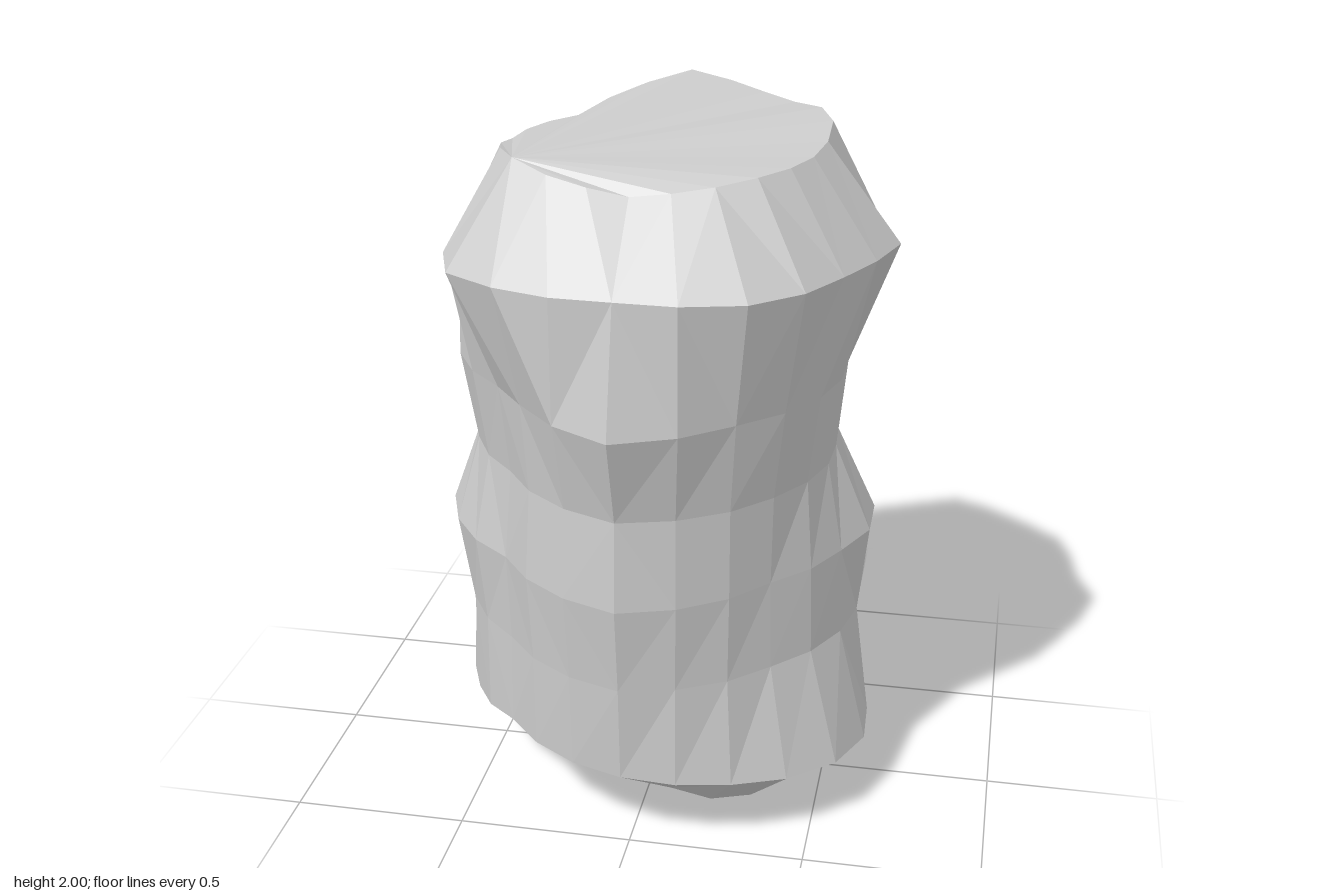
import * as THREE from 'three';

const SIDES = 24;
const CX = -0.015, CZ = -0.04;

// Blend of eight evenly spaced values, plus local bumps [column, amount].
// Columns count from the front (+z) towards +x.
function around([values, bumps = []], column) {
  const k = Math.floor(column / 3);
  let value = THREE.MathUtils.lerp(values[k], values[(k + 1) % 8], column / 3 - k);
  for (const [centre, amount] of bumps) {
    const d = Math.abs(column - centre);
    value += amount * Math.max(0, 1 - Math.min(d, SIDES - d) / 2);
  }
  return value;
}

function ring(height, radius) {
  return Array.from({ length: SIDES }, (_, i) => {
    const a = i / SIDES * Math.PI * 2, r = around(radius, i);
    const y = Array.isArray(height) ? around(height, i) : height;
    return new THREE.Vector3(CX + Math.sin(a) * r, y, CZ + Math.cos(a) * r);
  });
}

function facetedMesh(name, corners) {
  const geometry = new THREE.BufferGeometry().setFromPoints(corners);
  geometry.computeVertexNormals();
  const mesh = new THREE.Mesh(geometry, new THREE.MeshStandardMaterial({ color: 0xcccccc, flatShading: true }));
  mesh.name = name;
  return mesh;
}

// Fan across a rim from one of its corners, facing up or down
function cap(name, rim, start, up) {
  const corners = [];
  for (let n = 1; n < SIDES - 1; n++) {
    const p = rim[(start + n) % SIDES], q = rim[(start + n + 1) % SIDES];
    corners.push(rim[start], ...(up ? [p, q] : [q, p]));
  }
  return facetedMesh(name, corners);
}

export function createModel() {
  const group = new THREE.Group();
  group.name = 'stonePillar';

  // Arched lower rim and flared foot
  const lowerRim = ring(
    [[0.15, 0.075, 0.06, 0.15, 0.15, 0.09, 0.1, 0.185], [[2, -0.03], [10.5, 0.03], [17, -0.097], [22, 0.02]]],
    [[0.41, 0.475, 0.48, 0.44, 0.41, 0.45, 0.465, 0.43], [[17, 0.02]]]);
  const foot = ring(
    [[0.24, 0.205, 0.19, 0.235, 0.245, 0.235, 0.2, 0.255]],
    [[0.585, 0.625, 0.625, 0.555, 0.53, 0.59, 0.57, 0.52], [[4.5, 0.06], [16.5, 0.08]]]);

  // Level rings of the trunk
  const waist = ring(0.53, [[0.605, 0.555, 0.595, 0.56, 0.54, 0.53, 0.575, 0.515]]);
  const bulge = ring(0.79, [[0.64, 0.545, 0.59, 0.555, 0.54, 0.515, 0.63, 0.525], [[7, 0.065]]]);
  const neck = ring(1.05, [[0.625, 0.55, 0.515, 0.54, 0.51, 0.525, 0.535, 0.5]]);
  const chest = ring(1.31, [[0.64, 0.59, 0.54, 0.575, 0.61, 0.55, 0.585, 0.53], [[0, 0.07]]]);
  const shoulder = ring(1.66,
    [[0.625, 0.655, 0.68, 0.535, 0.63, 0.545, 0.54, 0.672], [[2, 0.03], [4.5, -0.04], [13, 0.03], [19, -0.025]]]);

  // Upper rim, scalloped between its raised corners
  const upperRim = ring(
    [[1.87, 1.912, 1.925, 1.95, 2, 1.9, 1.9, 1.93], [[7.5, 0.035], [20, 0.012]]],
    [[0.41, 0.45, 0.455, 0.465, 0.51, 0.42, 0.415, 0.463], [[7.5, 0.025], [10.5, -0.02]]]);

  // Wall: quads between neighbouring rings, split along the shorter diagonal
  const rings = [lowerRim, foot, waist, bulge, neck, chest, shoulder, upperRim];
  const wall = [];
  for (let k = 0; k < rings.length - 1; k++) {
    for (let i = 0; i < SIDES; i++) {
      const j = (i + 1) % SIDES;
      const a = rings[k][i], b = rings[k][j], c = rings[k + 1][j], d = rings[k + 1][i];
      if (a.distanceTo(c) < b.distanceTo(d)) wall.push(a, b, c, a, c, d);
      else wall.push(a, b, d, b, c, d);
    }
  }
  group.add(facetedMesh('pillarWall', wall));

  // Sloping top and hollowed underside
  group.add(cap('topFace', upperRim, 21, true));
  group.add(cap('underside', lowerRim, 17, false));
  return group;
}
